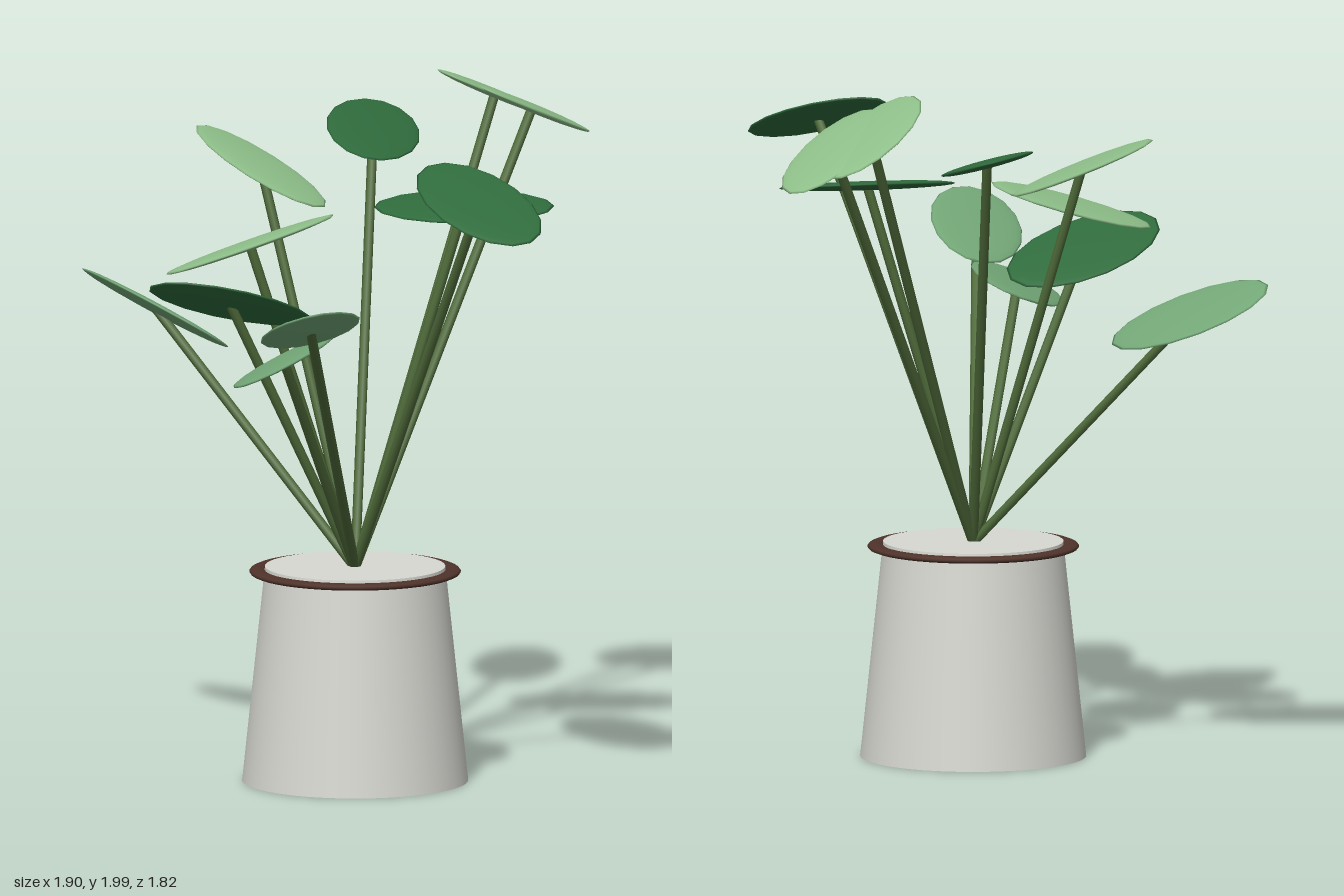
import * as THREE from 'three';

const material = (color) => new THREE.MeshStandardMaterial({ color });
const COLORS = { dark: 0x2f6b3c, mid: 0x74a878, light: 0x8fc08a };
const POT_X = -0.09;

// x, y, z of the centre, heading in degrees, half length and half width
// seen from above, slope along x, slope along z, tone
const LEAVES = [
  [-0.29, 1.78, 0.665, 101, 0.25, 0.13, 0.32, -0.26, 'dark'],
  [0.14, 1.67, 0.215, 45, 0.26, 0.14, 0.125, -0.125, 'dark'],
  [0.36, 1.805, -0.34, -36, 0.255, 0.133, -0.02, -0.3, 'dark'],
  [0.645, 1.9, -0.125, -13, 0.245, 0.13, -0.4, -0.21, 'light'],
  [0.705, 1.86, -0.035, -13, 0.25, 0.13, -0.4, -0.21, 'light'],
  [-0.065, 1.745, -0.39, 97, 0.24, 0.14, -0.21, -0.4, 'light'],
  [-0.22, 1.32, -0.66, 86, 0.25, 0.126, -0.56, -0.27, 'mid'],
  [-0.51, 1.43, -0.105, 24, 0.25, 0.13, -0.42, 0.26, 'dark'],
  [-0.37, 1.58, -0.155, 28, 0.255, 0.127, 0.16, 0.31, 'light'],
  [-0.57, 1.3, 0.16, -24, 0.255, 0.13, 0.25, 0.39, 'mid'],
  [-0.715, 1.435, 0.395, -26, 0.255, 0.13, -0.03, 0.48, 'mid'],
];

// Flattened ellipsoid lying in a sloped plane
function leafGeometry(heading, length, width, slopeX, slopeZ) {
  const t = THREE.MathUtils.degToRad(heading);
  const inPlane = (x, z) => new THREE.Vector3(x, x * slopeX + z * slopeZ, z);
  const along = inPlane(Math.cos(t) * length, Math.sin(t) * length);
  const across = inPlane(-Math.sin(t) * width, Math.cos(t) * width);
  const thick = new THREE.Vector3(-slopeX, 1, -slopeZ).setLength(0.013);
  return new THREE.SphereGeometry(1, 16, 12)
    .applyMatrix4(new THREE.Matrix4().makeBasis(along, thick, across));
}

// Straight round rod between two points
function rod(from, to, radius, mat) {
  const dir = to.clone().sub(from);
  const mesh = new THREE.Mesh(new THREE.CylinderGeometry(radius, radius, dir.length(), 8), mat);
  mesh.position.copy(from).add(to).multiplyScalar(0.5);
  mesh.quaternion.setFromUnitVectors(new THREE.Vector3(0, 1, 0), dir.normalize());
  return mesh;
}

export function createModel() {
  const model = new THREE.Group();
  model.name = 'pottedPlant';

  // Pot, wider at the foot, closed at the top
  const pot = new THREE.Mesh(new THREE.CylinderGeometry(0.26, 0.326, 0.625, 48), material(0xd8d8d2));
  pot.name = 'pot';
  pot.position.set(POT_X, 0.3125, 0);
  model.add(pot);

  // Flattened ring around the pot's mouth
  const rim = new THREE.Mesh(new THREE.TorusGeometry(0.28, 0.025, 12, 48), material(0x4f332a));
  rim.name = 'rim';
  rim.rotation.x = Math.PI / 2;
  rim.scale.z = 0.4;
  rim.position.set(POT_X, 0.61, 0);
  model.add(rim);

  // Stems fan out from one point, each carrying a leaf
  const stemMaterial = material(0x4f6b3a);
  const root = new THREE.Vector3(POT_X, 0.62, 0);
  LEAVES.forEach(([x, y, z, heading, length, width, slopeX, slopeZ, tone], i) => {
    const centre = new THREE.Vector3(x, y, z);
    const stem = rod(root, centre, 0.014, stemMaterial);
    stem.name = `stem${i + 1}`;
    const leaf = new THREE.Mesh(leafGeometry(heading, length, width, slopeX, slopeZ), material(COLORS[tone]));
    leaf.name = `leaf${i + 1}`;
    leaf.position.copy(centre);
    model.add(stem, leaf);
  });

  return model;
}
